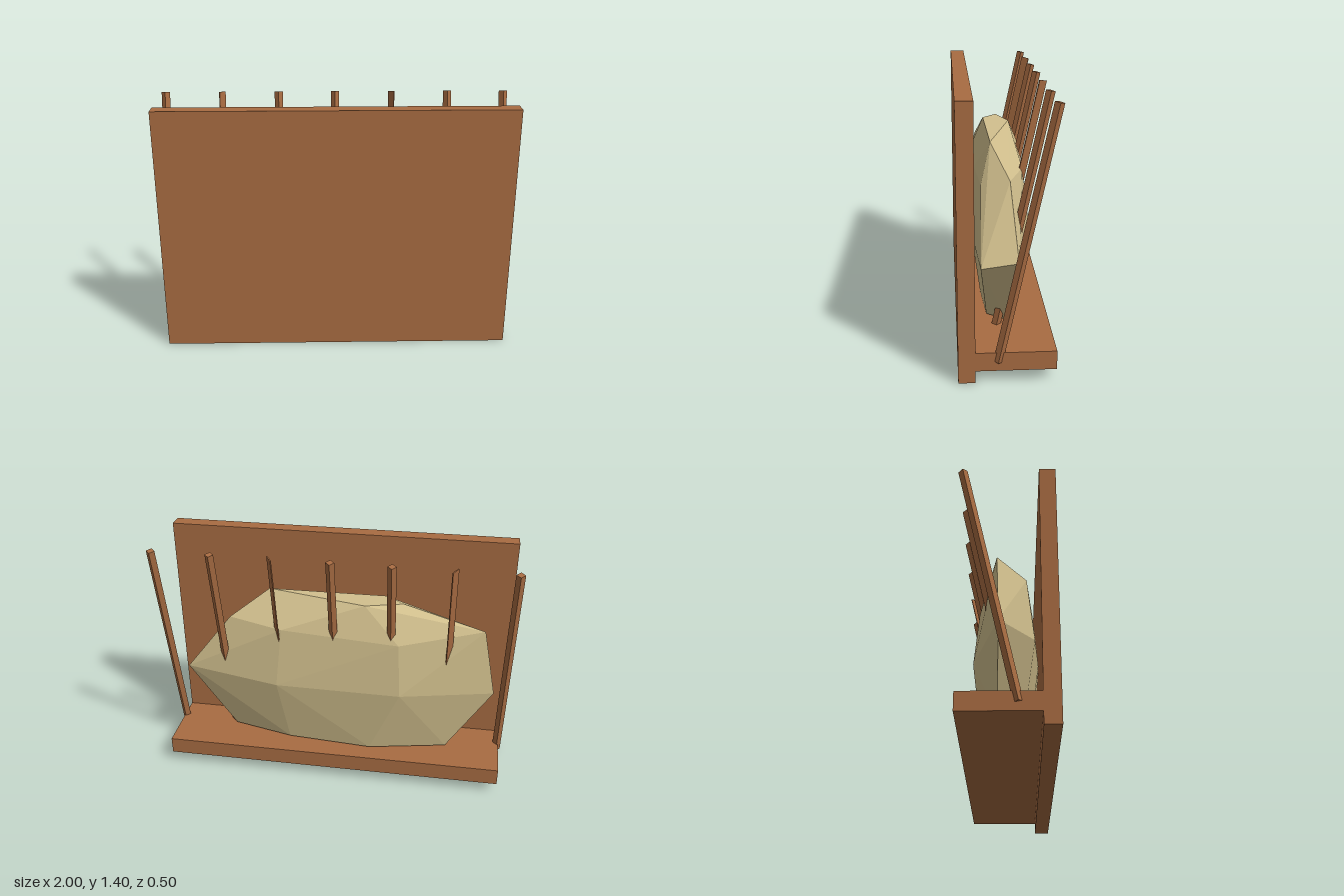
import * as THREE from 'three';
import { ConvexGeometry } from 'three/addons/geometries/ConvexGeometry.js';

export function createModel() {
  const group = new THREE.Group();
  const wood = new THREE.MeshStandardMaterial({ color: 0xa86c42, flatShading: true });
  wood.name = 'brown wood';
  const straw = new THREE.MeshStandardMaterial({ color: 0xd2c08e, flatShading: true });
  straw.name = 'pale straw';

  function add(name, geometry, material, x, y, z) {
    const mesh = new THREE.Mesh(geometry, material);
    mesh.name = name;
    mesh.position.set(x, y, z);
    group.add(mesh);
    return mesh;
  }

  // upright board and the shelf behind it
  add('board', new THREE.BoxGeometry(1.966, 1.4, 0.085), wood, 0, 0.7, 0.2075);
  add('shelf', new THREE.BoxGeometry(1.966, 0.097, 0.402), wood, 0, 0.112, -0.036);

  // slanting bars: mostly square rods, two of them thin slats turned sideways
  const rod = new THREE.CylinderGeometry(0.024, 0.024, 1.31, 4);
  const slat = new THREE.BoxGeometry(0.05, 1.31, 0.006);
  const slatTurn = { 1: 0.96, 4: -0.96 };
  for (let i = 0; i < 7; i++) {
    const flat = i in slatTurn;
    const bar = add('bar', flat ? slat : rod, wood, (i - 3) * 0.3253, 0.75, -0.085);
    bar.rotation.set(-0.2137, flat ? slatTurn[i] : 0, 0);
  }

  // faceted bale of hay, the hull of a few rings of corners
  const corners = [
    // top
    [0.40, 1.08, 0.06], [-0.27, 1.08, 0.068], [-0.38, 1.078, -0.015], [-0.17, 1.08, -0.078],
    // shoulder
    [0.62, 0.925, -0.03], [0.30, 0.91, -0.12], [-0.37, 0.885, -0.155], [-0.84, 0.96, -0.05],
    [-0.73, 0.89, 0.10], [-0.3, 0.9, 0.14], [0.2, 0.9, 0.14], [0.52, 0.88, 0.115],
    // waist
    [0.89, 0.585, -0.055], [0.33, 0.565, -0.16], [-0.39, 0.575, -0.185], [-0.92, 0.56, -0.04],
    [-0.70, 0.56, 0.14], [-0.4, 0.56, 0.163], [0.3, 0.56, 0.163], [0.84, 0.54, 0.13],
    // bottom
    [0.63, 0.17, -0.01], [0.27, 0.17, -0.10], [-0.22, 0.17, -0.138], [-0.667, 0.17, -0.048],
    [-0.55, 0.17, 0.08], [-0.25, 0.17, 0.11], [0.25, 0.17, 0.11], [0.55, 0.17, 0.09],
  ].map((p) => new THREE.Vector3(...p));
  add('hayBale', new ConvexGeometry(corners), straw, 0, 0, 0);

  return group;
}
